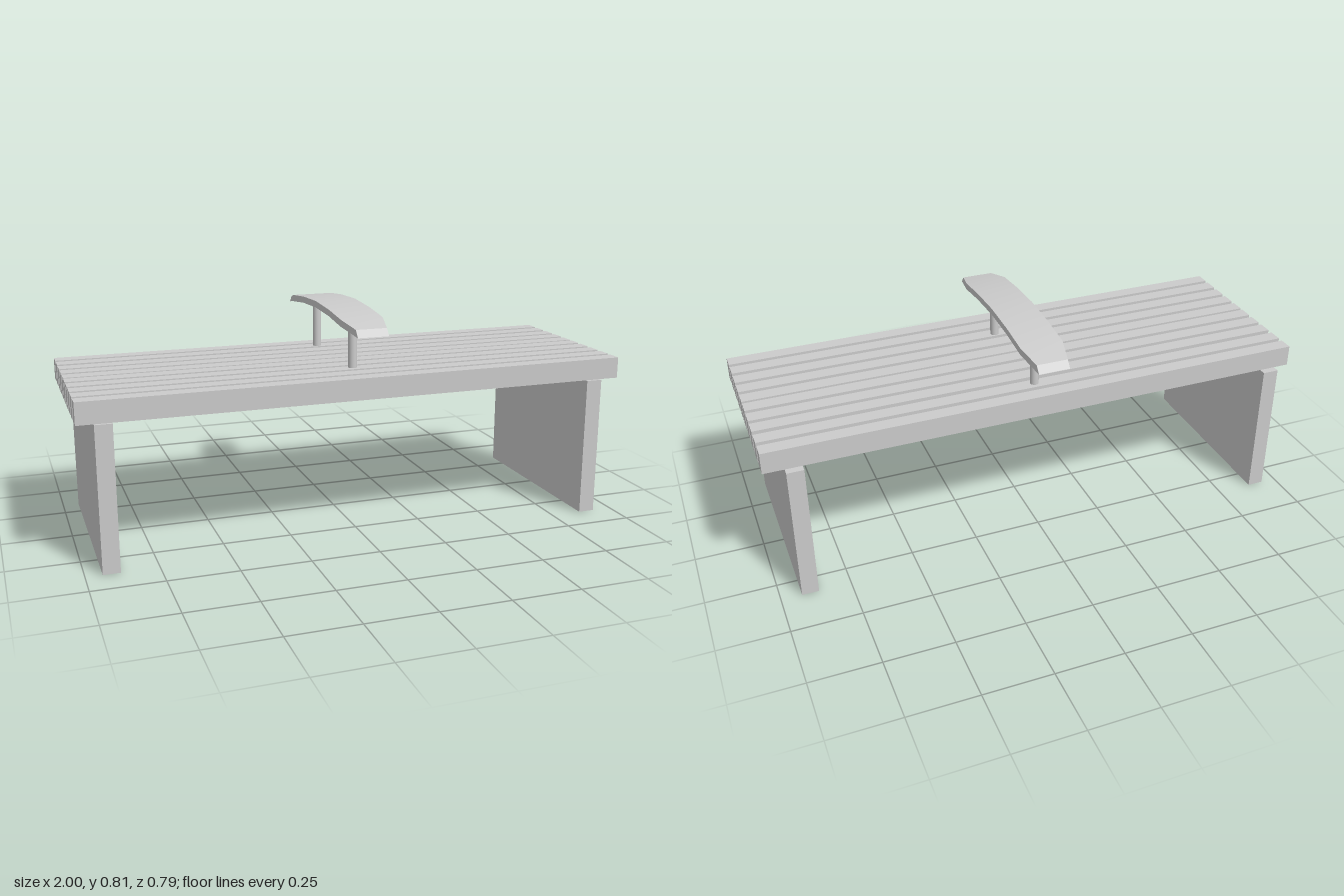
import * as THREE from 'three';
import { toCreasedNormals } from 'three/addons/utils/BufferGeometryUtils.js';

const material = new THREE.MeshStandardMaterial({ color: 0xcccccc });

export function createModel() {
  const bench = new THREE.Group();
  bench.name = 'bench';

  const add = (name, geometry, x, y, z) => {
    const mesh = new THREE.Mesh(geometry, material);
    mesh.name = name;
    mesh.position.set(x, y, z);
    bench.add(mesh);
  };

  // Seat: ten long slats with narrow gaps
  const slatZ = [0.348, 0.278, 0.207, 0.137, 0.067, 0.003, -0.067, -0.137, -0.21, -0.281];
  const slat = new THREE.BoxGeometry(2, 0.078, 0.052);
  for (const z of slatZ) add('seatSlat', slat, 0, 0.556, z);

  // Slab legs
  const leg = new THREE.BoxGeometry(0.06, 0.517, 0.718);
  add('rightLeg', leg, -0.912, 0.2585, 0.026);
  add('leftLeg', leg, 0.896, 0.2585, 0.026);

  // Armrest posts
  const post = new THREE.CylinderGeometry(0.016, 0.016, 0.182, 20);
  for (const z of [0.201, -0.206]) add('armrestPost', post, 0.003, 0.681, z);

  // Arched armrest: a segmented box bent along z, tapered and bevelled at both ends
  const stations = [ // topZ, topY, bottomZ, bottomY, halfWidth
    [0, 0.808, 0, 0.784, 0.078],
    [0.15, 0.801, 0.15, 0.777, 0.078],
    [0.28, 0.787, 0.28, 0.762, 0.078],
    [0.375, 0.767, 0.396, 0.742, 0.057],
  ];
  const arm = new THREE.BoxGeometry(2, 2, 6, 1, 1, 6);
  const p = arm.attributes.position;
  for (let i = 0; i < p.count; i++) {
    const z = p.getZ(i);
    const [tz, ty, bz, by, w] = stations[Math.round(Math.abs(z))];
    const top = p.getY(i) > 0;
    p.setXYZ(i, p.getX(i) * w, top ? ty : by, Math.sign(z) * (top ? tz : bz));
  }
  add('armrest', toCreasedNormals(arm, Math.PI / 6), 0.008, 0, 0);

  return bench;
}
